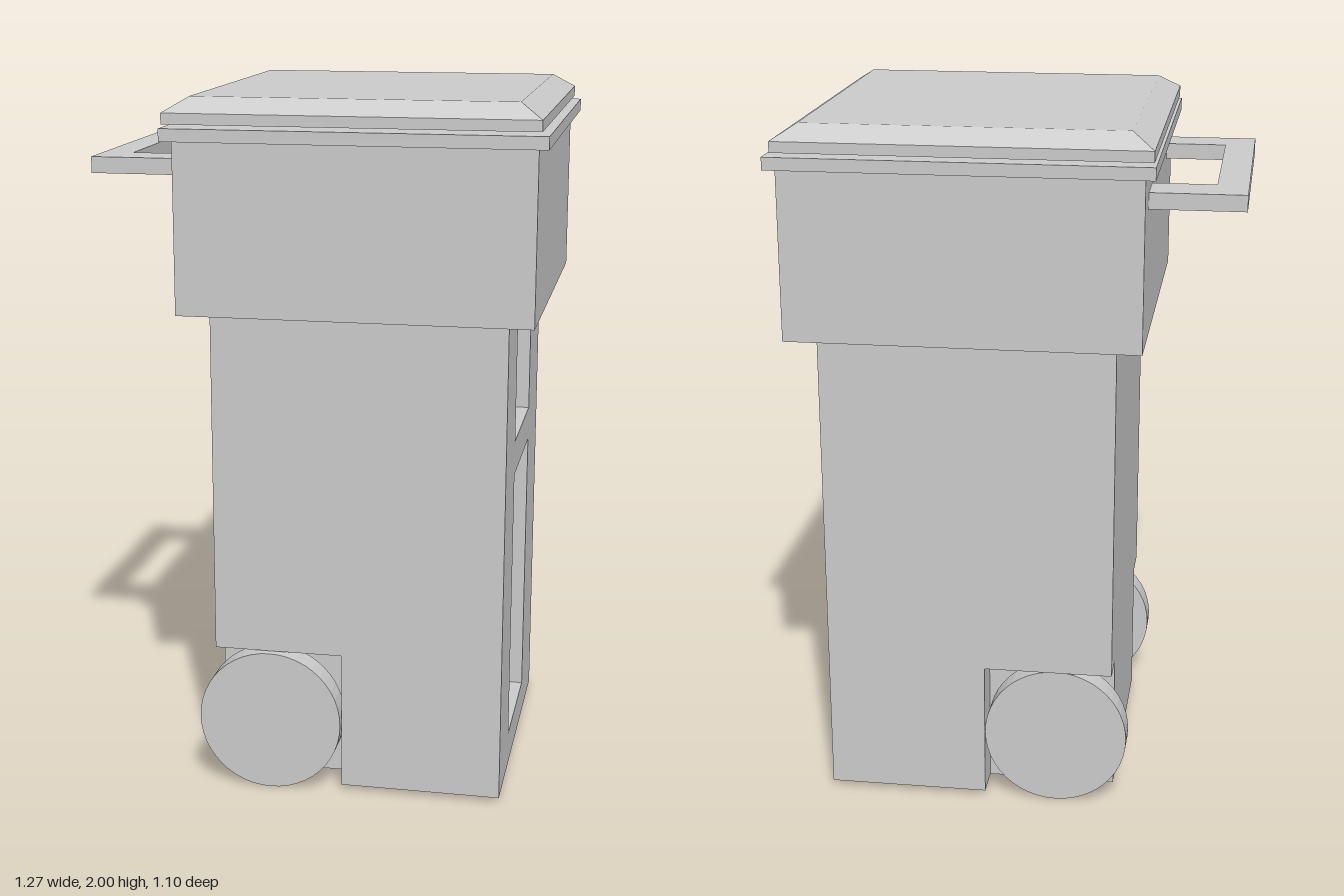
import * as THREE from 'three';

const material = new THREE.MeshStandardMaterial({ color: 0xcccccc, flatShading: true });

function addMesh(parent, name, geometry) {
  const mesh = new THREE.Mesh(geometry, material);
  mesh.name = name;
  parent.add(mesh);
  return mesh;
}

// Box given by its limits on each axis
function addBox(parent, name, [x0, x1], [y0, y1], [z0, z1]) {
  const geometry = new THREE.BoxGeometry(x1 - x0, y1 - y0, z1 - z0);
  geometry.translate((x0 + x1) / 2, (y0 + y1) / 2, (z0 + z1) / 2);
  return addMesh(parent, name, geometry);
}

// Upright prism over an outline of [x, z] points
function prism(outline, y0, y1) {
  const shape = new THREE.Shape(outline.map(([x, z]) => new THREE.Vector2(x, -z)));
  const geometry = new THREE.ExtrudeGeometry(shape, { depth: y1 - y0, bevelEnabled: false });
  geometry.rotateX(-Math.PI / 2);
  return geometry.translate(0, y0, 0);
}

// Floor plan of the body, with optional wheel notches and side compartment
function bodyPlan(notches, bay) {
  const left = -0.3, right = 0.53, half = 0.44;
  const corner = (s) => notches
    ? [[left, s * 0.34], [0.07, s * 0.34], [0.07, s * half]]
    : [[left, s * half]];
  return [
    ...corner(1),
    [right, half],
    ...(bay ? [[right, 0.21], [-0.22, 0.21], [-0.22, -0.18], [right, -0.18]] : []),
    [right, -half],
    ...corner(-1).reverse(),
  ];
}

export function createModel() {
  const model = new THREE.Group();
  model.name = 'wheeledBin';

  // Body in layers: floor, open compartments, shelf
  const body = new THREE.Group();
  body.name = 'body';
  model.add(body);
  const layers = [
    ['floor', 0.02, 0.12, true, false],
    ['lowerCompartmentBase', 0.12, 0.42, true, true],
    ['lowerCompartment', 0.42, 0.92, false, true],
    ['shelf', 0.92, 1.02, false, false],
    ['upperCompartment', 1.02, 1.41, false, true],
  ];
  for (const [name, y0, y1, notches, bay] of layers) {
    addMesh(body, name, prism(bodyPlan(notches, bay), y0, y1));
  }

  // Wider upper section and its rim
  addBox(model, 'upperSection', [-0.375, 0.605], [1.41, 1.885], [-0.52, 0.52]);
  addBox(model, 'rim', [-0.403, 0.633], [1.885, 1.92], [-0.548, 0.548]);

  // Lid with sloped edges: the top ring of the box is drawn inward
  const lid = new THREE.BoxGeometry(1.012, 0.07, 1.076, 1, 2, 1);
  const p = lid.attributes.position;
  for (let i = 0; i < p.count; i++) {
    if (p.getY(i) > 0.01) {
      p.setX(i, Math.sign(p.getX(i)) * 0.443);
      p.setZ(i, Math.sign(p.getZ(i)) * 0.474);
    } else if (p.getY(i) > -0.01) {
      p.setY(i, -0.005);
    }
  }
  lid.translate(0.108, 1.965, 0);
  lid.computeVertexNormals();
  addMesh(model, 'lid', lid);

  // U-shaped handle
  addMesh(model, 'handle', prism([
    [-0.375, -0.405], [-0.636, -0.405], [-0.636, 0.412], [-0.375, 0.412],
    [-0.375, 0.296], [-0.55, 0.296], [-0.55, -0.278], [-0.375, -0.278],
  ].reverse(), 1.78, 1.825));

  // Wheels in the notches, with short axle stubs
  for (const [name, z, side] of [['frontWheel', 0.422, 1], ['rearWheel', -0.395, -1]]) {
    const wheel = new THREE.CylinderGeometry(0.207, 0.207, 0.075, 48);
    wheel.rotateX(Math.PI / 2).translate(-0.137, 0.212, z);
    addMesh(model, name, wheel);
    const axle = new THREE.CylinderGeometry(0.03, 0.03, 0.1, 16);
    axle.rotateX(Math.PI / 2).translate(-0.137, 0.212, side * 0.35);
    addMesh(model, name + 'Axle', axle);
  }

  model.rotation.y = -0.006;
  return model;
}
